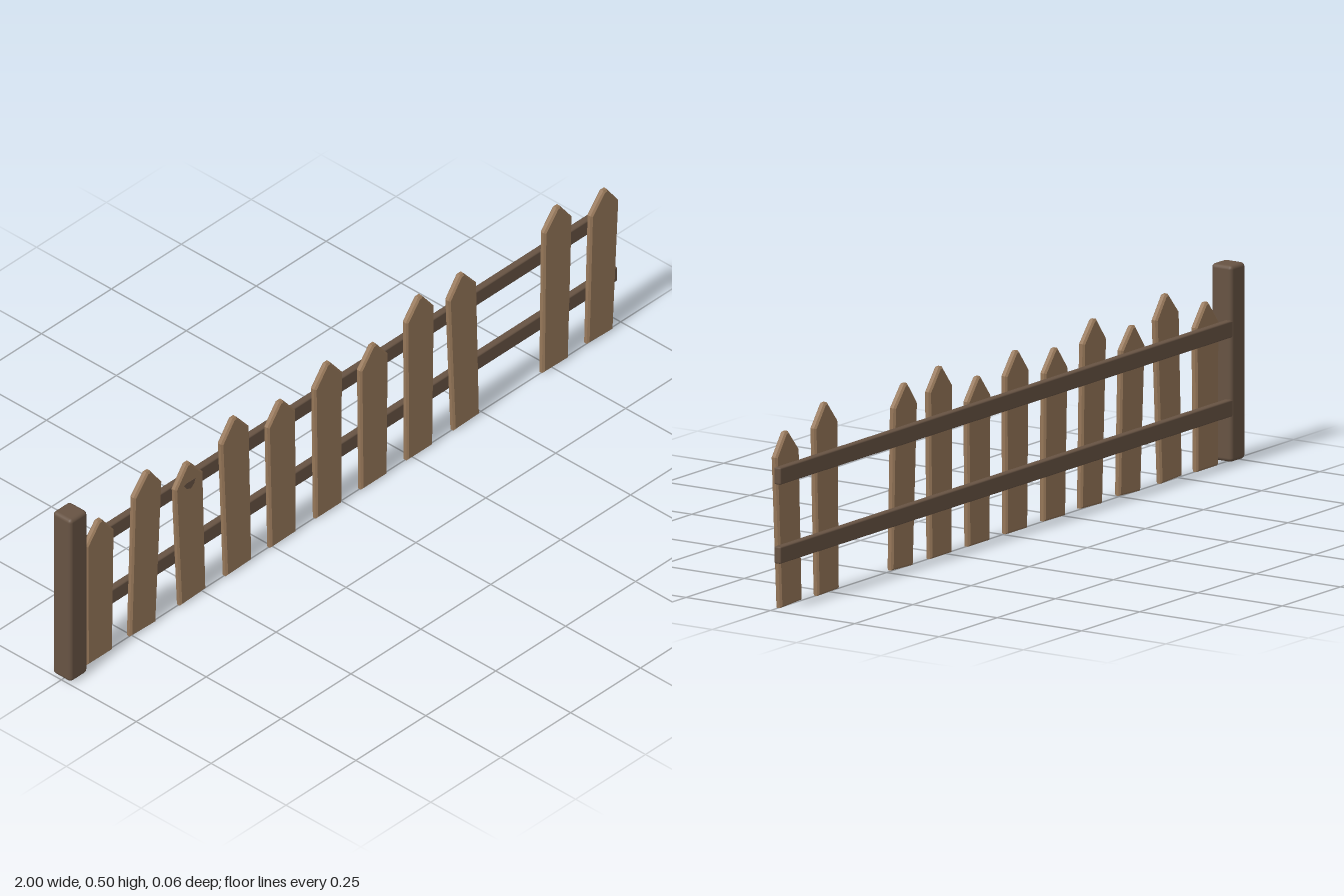
import * as THREE from 'three';
import { RoundedBoxGeometry } from 'three/addons/geometries/RoundedBoxGeometry.js';

// Each picket: bottom centre x, tip x, tip height
const PICKETS = [
  [-0.87, -0.868, 0.417], [-0.715, -0.695, 0.471], [-0.536, -0.553, 0.419],
  [-0.372, -0.387, 0.467], [-0.213, -0.22, 0.426], [-0.05, -0.052, 0.451],
  [0.112, 0.112, 0.418], [0.275, 0.277, 0.474], [0.442, 0.426, 0.461],
  [0.76, 0.771, 0.478], [0.92, 0.939, 0.438],
];

// Pointed board with chamfered edges, slightly wider at the shoulders
function picketGeometry(height) {
  const b = 0.046, t = 0.05, shoulder = height - 0.055;
  const shape = new THREE.Shape([
    [-b, 0], [b, 0], [t, shoulder], [0.006, height], [-0.006, height], [-t, shoulder],
  ].map(([x, y]) => new THREE.Vector2(x, y)));
  const geometry = new THREE.ExtrudeGeometry(shape, {
    depth: 0.009, bevelEnabled: true, bevelThickness: 0.0045,
    bevelSize: 0.005, bevelOffset: -0.005, bevelSegments: 1,
  });
  return geometry.translate(0, 0, -0.0045);
}

export function createModel() {
  const fence = new THREE.Group();
  fence.name = 'fence';
  const picketWood = new THREE.MeshStandardMaterial({ color: 0x967759 });
  picketWood.name = 'picket wood';
  const frameWood = new THREE.MeshStandardMaterial({ color: 0x675343 });
  frameWood.name = 'frame wood';

  const add = (name, geometry, material, x, y, z, parent = fence) => {
    const mesh = new THREE.Mesh(geometry, material);
    mesh.name = name;
    mesh.position.set(x, y, z);
    parent.add(mesh);
    return mesh;
  };

  // End post
  add('post', new RoundedBoxGeometry(0.062, 0.492, 0.062, 2, 0.01), frameWood, -0.969, 0.251, 0);

  // Two rails behind the pickets
  for (const [name, y] of [['lowerRail', 0.141], ['upperRail', 0.339]]) {
    add(name, new RoundedBoxGeometry(1.96, 0.043, 0.02, 1, 0.004), frameWood, 0.02, y, -0.02);
  }

  // Leaning pickets
  const pickets = PICKETS.map(([x, tipX, height], i) => {
    const lean = Math.atan2(tipX - x, height);
    const lift = 0.046 * Math.abs(Math.sin(lean));
    const mesh = add('picket' + (i + 1), picketGeometry(height - lift), picketWood, x, lift, 0);
    mesh.rotation.z = -lean;
    return mesh;
  });

  // Small dark knots
  const knotShape = new THREE.Shape([
    [-0.021, 0.008], [-0.008, 0.011], [0.02, 0.009], [0.015, -0.003], [0.003, -0.013], [-0.012, -0.006],
  ].map(([x, y]) => new THREE.Vector2(x, y)));
  const knotGeometry = new THREE.ExtrudeGeometry(knotShape, { depth: 0.001, bevelEnabled: false });
  add('knot', knotGeometry, frameWood, 0, 0.352, 0.0088, pickets[2]);

  return fence;
}
